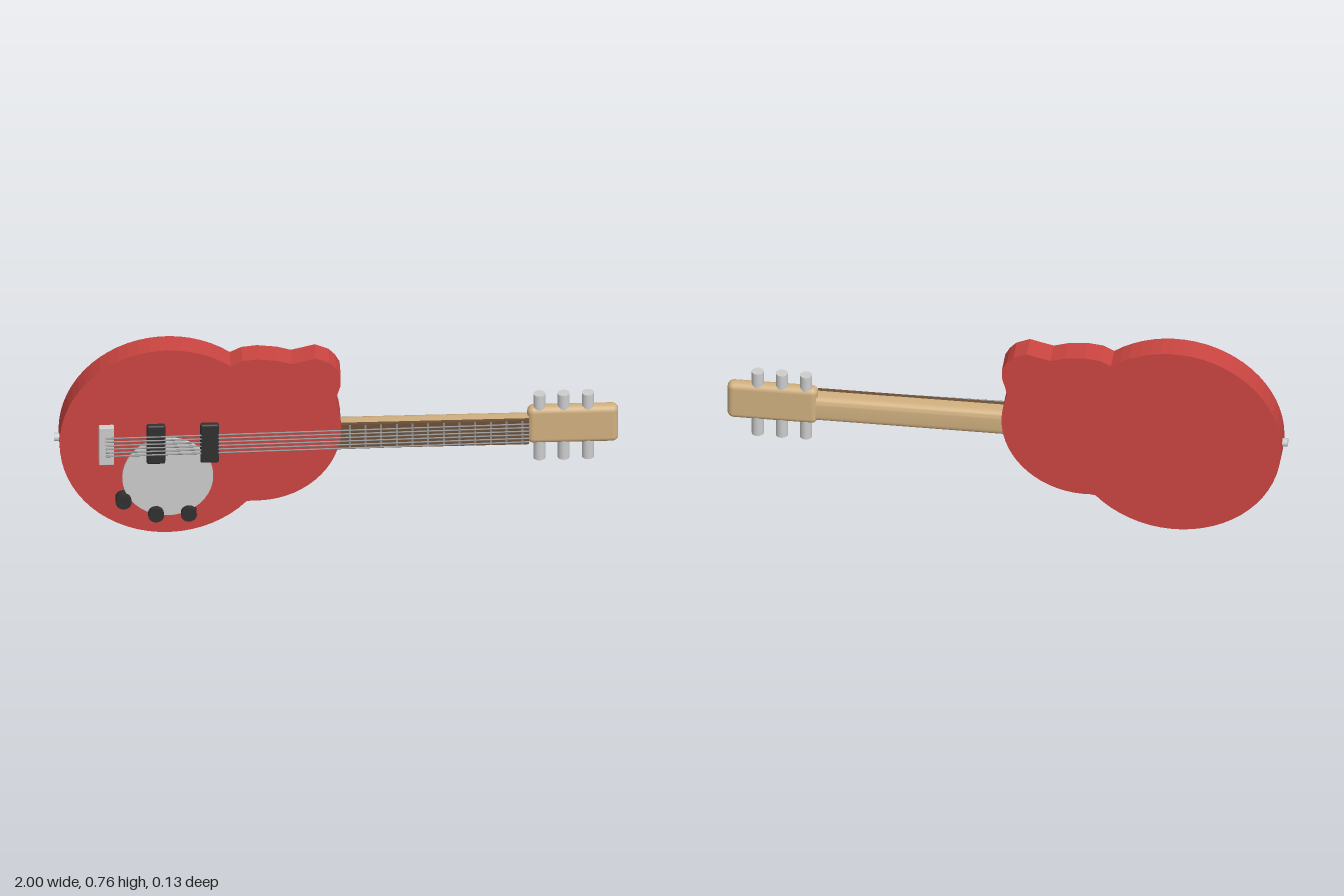
import * as THREE from 'three';
import { toCreasedNormals } from 'three/addons/utils/BufferGeometryUtils.js';
import { RoundedBoxGeometry } from 'three/addons/geometries/RoundedBoxGeometry.js';

const mat = (name, color) => {
  const m = new THREE.MeshStandardMaterial({ color });
  m.name = name;
  return m;
};

export function createModel() {
  const guitar = new THREE.Group();
  guitar.name = 'electricGuitar';
  const red = mat('red lacquer', 0xcb4541);
  const wood = mat('pale wood', 0xd0b080);
  const rosewood = mat('dark fretboard wood', 0x6b4f38);
  const metal = mat('light metal', 0xcccccc);
  const steel = mat('string steel', 0x8c8c8c);
  const black = mat('black plastic', 0x303030);

  const add = (name, geometry, material, x = 0, y = 0, z = 0) => {
    const mesh = new THREE.Mesh(geometry, material);
    mesh.name = name;
    mesh.position.set(x, y, z);
    guitar.add(mesh);
    return mesh;
  };

  // Body: round lower bout, then the upper bout with its single horn
  const outline = [];
  const arc = (cx, cy, r, from, to, n) => {
    for (let i = 0; i <= n; i++) {
      const a = THREE.MathUtils.degToRad(from + ((to - from) * i) / n);
      outline.push(new THREE.Vector2(cx + r * Math.cos(a), cy + r * Math.sin(a)));
    }
  };
  arc(-0.6, 0.383, 0.382, 54, 317, 46);
  arc(-0.28, 0.42, 0.295, 266, 372, 18);
  [[-0.005, 0.533], [0.002, 0.565], [0.012, 0.597], [0.013, 0.642], [-0.004, 0.672],
    [-0.027, 0.696], [-0.075, 0.716], [-0.118, 0.705], [-0.16, 0.695], [-0.21, 0.71],
    [-0.28, 0.718], [-0.335, 0.712]].forEach(([x, y]) => outline.push(new THREE.Vector2(x, y)));
  add('body', new THREE.ExtrudeGeometry(new THREE.Shape(outline), { depth: 0.094, bevelEnabled: false }),
    red, 0, 0, -0.067);

  // Neck: D-shaped section with a rounded back, swept along x
  const section = new THREE.Shape();
  section.moveTo(-0.01, 0.333);
  section.lineTo(0.02, 0.333);
  section.quadraticCurveTo(0.046, 0.335, 0.046, 0.361);
  section.lineTo(0.046, 0.405);
  section.quadraticCurveTo(0.046, 0.431, 0.02, 0.433);
  section.lineTo(-0.01, 0.433);
  const neck = new THREE.ExtrudeGeometry(section, { depth: 0.7, bevelEnabled: false, curveSegments: 6 });
  neck.rotateY(Math.PI / 2);
  add('neck', toCreasedNormals(neck, 0.6), wood, -0.02, 0, 0);
  add('fretboard', new THREE.BoxGeometry(0.69, 0.1, 0.016), rosewood, 0.335, 0.383, 0.017);

  // Frets
  for (let i = 0; i < 12; i++) {
    add('fret', new THREE.BoxGeometry(0.007, 0.096, 0.004), steel, 0.045 + i * 0.0555, 0.383, 0.026);
  }

  // Headstock with three tuner bars passing through it
  add('headstock', new RoundedBoxGeometry(0.322, 0.15, 0.05, 4, 0.022), wood, 0.836, 0.393, -0.018);
  for (const x of [0.718, 0.804, 0.89]) {
    add('tuner', new THREE.CylinderGeometry(0.0215, 0.0215, 0.268, 20), metal, x, 0.384, -0.018);
  }

  // Pickguard, bridge and pickups
  const disc = new THREE.CylinderGeometry(0.161, 0.161, 0.01, 40);
  disc.rotateX(Math.PI / 2);
  add('pickguard', disc, metal, -0.6, 0.245, 0.041);
  add('bridge', new RoundedBoxGeometry(0.054, 0.158, 0.024, 2, 0.004), metal, -0.817, 0.385, 0.045);
  for (const x of [-0.642, -0.452]) {
    add('pickup', new RoundedBoxGeometry(0.066, 0.161, 0.023, 3, 0.008), black, x, 0.385, 0.045);
  }

  // Control knobs
  for (const [x, y] of [[-0.757, 0.154], [-0.642, 0.096], [-0.526, 0.096]]) {
    const knob = add('knob', new THREE.CylinderGeometry(0.028, 0.028, 0.042, 20), black, x, y, 0.046);
    knob.rotation.x = Math.PI / 2;
  }

  // Six strings running down from the bridge to the nut
  const up = new THREE.Vector3(0, 1, 0);
  for (let i = 0; i < 6; i++) {
    const start = new THREE.Vector3(-0.82, 0.346 + i * 0.015, 0.06);
    const end = new THREE.Vector3(0.68, 0.346 + i * 0.015, 0.03);
    const dir = end.clone().sub(start);
    const mid = start.clone().add(end).multiplyScalar(0.5);
    const string = add('string', new THREE.CylinderGeometry(0.003, 0.003, dir.length(), 8),
      steel, mid.x, mid.y, mid.z);
    string.quaternion.setFromUnitVectors(up, dir.normalize());
  }

  // Strap button at the tail
  const button = add('strapButton', new THREE.CylinderGeometry(0.015, 0.015, 0.03, 16), metal, -0.985, 0.383, -0.02);
  button.rotation.z = Math.PI / 2;

  return guitar;
}
